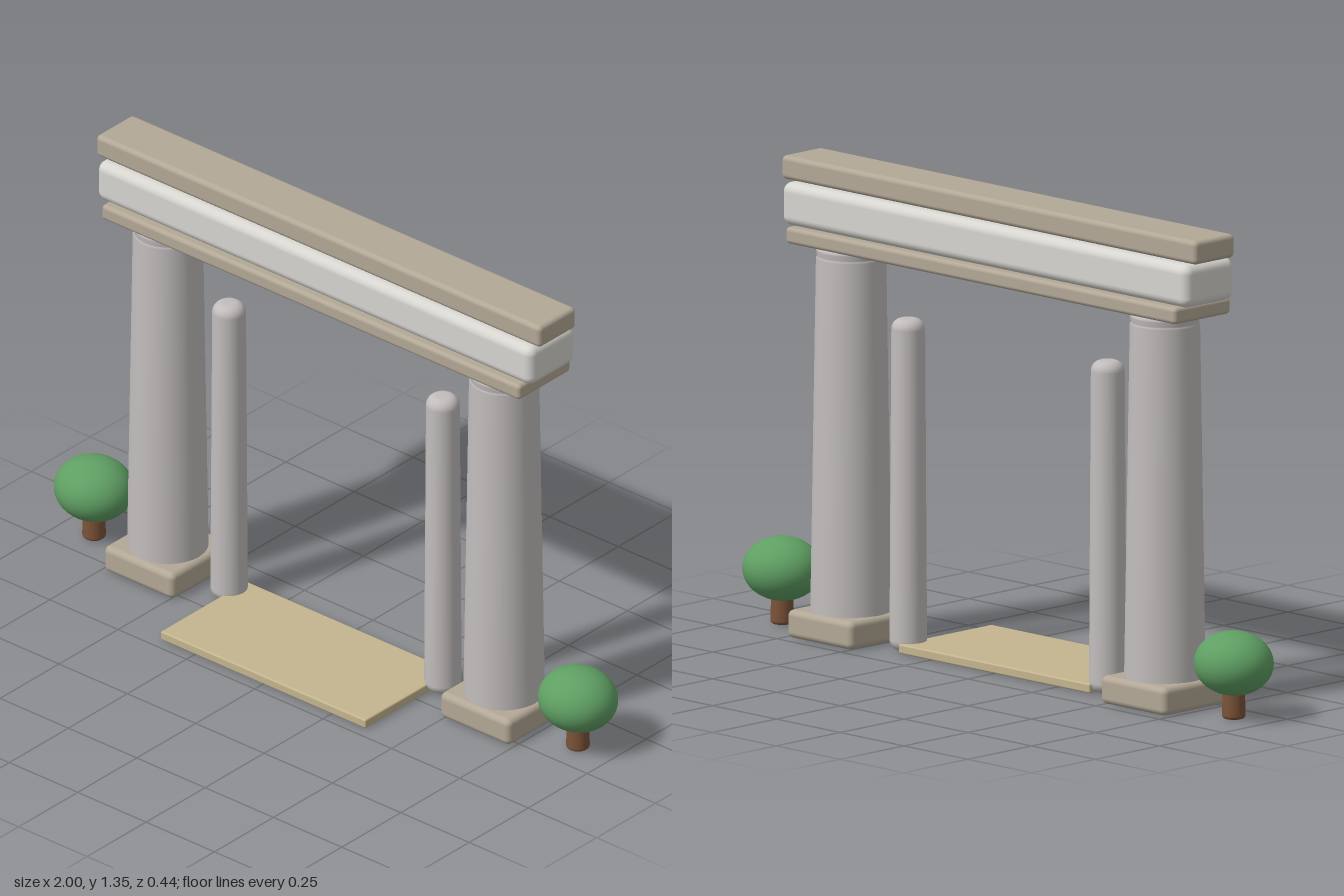
import * as THREE from 'three';
import { RoundedBoxGeometry } from 'three/addons/geometries/RoundedBoxGeometry.js';

const mat = (color) => new THREE.MeshStandardMaterial({ color });
const COLORS = {
  shaft: mat(0xc2bdbd),
  beam: mat(0xd6d5d0),
  stone: mat(0xb3a896),
  path: mat(0xc4b58f),
  leaf: mat(0x5f9f63),
  bark: mat(0x7a5237),
};
const ROW_Z = -0.094; // columns, posts and shrubs stand on one line

function add(parent, name, geometry, material, x = 0, y = 0, z = 0) {
  const mesh = new THREE.Mesh(geometry, material);
  mesh.name = name;
  mesh.position.set(x, y, z);
  parent.add(mesh);
  return mesh;
}

// Soft-edged slab spanning y0..y1, centred in x
function slab(parent, name, material, w, y0, y1, d, r, x = 0, z = ROW_Z) {
  const geometry = new RoundedBoxGeometry(w, y1 - y0, d, 4, r);
  return add(parent, name, geometry, material, x, (y0 + y1) / 2, z);
}

// Tapered shaft with rounded ends; optional extra [radius, y] points above the taper
function shaft(rBottom, rTop, height, round, extra = []) {
  const points = [new THREE.Vector2(0, 0)];
  const steps = 6;
  for (let i = 0; i <= steps; i++) {
    const a = (i / steps) * Math.PI / 2;
    points.push(new THREE.Vector2(rBottom - round * (1 - Math.sin(a)), round * (1 - Math.cos(a))));
  }
  for (const [r, y] of extra) points.push(new THREE.Vector2(r, y));
  for (let i = 0; i <= steps; i++) {
    const a = (i / steps) * Math.PI / 2;
    points.push(new THREE.Vector2(rTop - round * (1 - Math.cos(a)), height - round * (1 - Math.sin(a))));
  }
  points.push(new THREE.Vector2(0, height));
  return new THREE.LatheGeometry(points, 48);
}

export function createModel() {
  const model = new THREE.Group();
  model.name = 'gateway';

  // Mirrored supports and shrubs
  const columnGeo = shaft(0.114, 0.097, 1.112, 0.015, [[0.0975, 1.076], [0.0945, 1.08], [0.0945, 1.084]]);
  const postGeo = shaft(0.052, 0.047, 0.939, 0.03);
  const trunkGeo = shaft(0.033, 0.03, 0.11, 0.01);
  const crownGeo = new THREE.SphereGeometry(1, 40, 28);
  for (const [side, s] of [['left', 1], ['right', -1]]) {
    const x = 0.615 * s;
    slab(model, side + 'ColumnBase', COLORS.stone, 0.256, 0, 0.08, 0.256, 0.018, x);
    add(model, side + 'Column', columnGeo, COLORS.shaft, x, 0.001, ROW_Z);
    add(model, side + 'Post', postGeo, COLORS.shaft, 0.391 * s, 0, ROW_Z);

    const shrub = new THREE.Group();
    shrub.name = side + 'Shrub';
    shrub.position.set(0.885 * s, 0, ROW_Z);
    add(shrub, 'trunk', trunkGeo, COLORS.bark);
    add(shrub, 'crown', crownGeo, COLORS.leaf, 0, 0.156, 0).scale.set(0.115, 0.09, 0.107);
    model.add(shrub);
  }

  // Stacked lintel
  slab(model, 'lowerLintel', COLORS.stone, 1.53, 1.11, 1.157, 0.22, 0.012);
  slab(model, 'mainBeam', COLORS.beam, 1.594, 1.156, 1.278, 0.195, 0.027);
  slab(model, 'topSlab', COLORS.stone, 1.626, 1.281, 1.348, 0.157, 0.014);

  // Path between the posts
  slab(model, 'path', COLORS.path, 0.75, 0, 0.027, 0.365, 0.005, 0, 0.033);

  return model;
}
